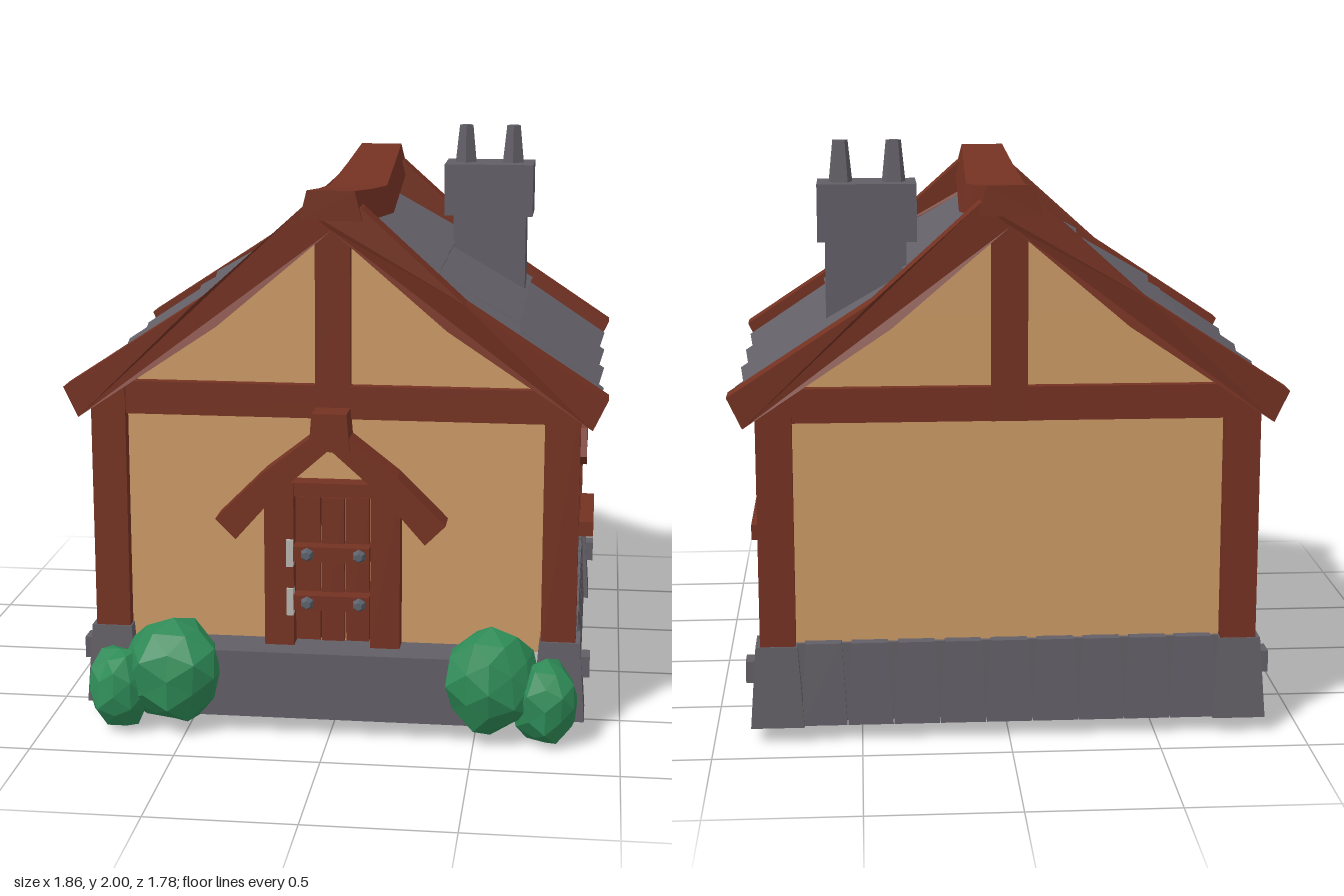
import * as THREE from 'three';

const mat = (name, color, extra = {}) => {
  const m = new THREE.MeshStandardMaterial({ color, flatShading: true, ...extra });
  m.name = name;
  return m;
};

export function createModel() {
  const timber = mat('timber', 0x743222);
  const plaster = mat('plaster', 0xcc9a66, { side: THREE.DoubleSide });
  const stone = mat('stone', 0x625e66);
  const eave = mat('eave', 0x4b505a);
  const leaf = mat('leaf', 0x2e8b57);
  const pale = mat('paleMetal', 0xb8b4ae);
  const glass = mat('glass', 0xcdc6be);
  const iron = mat('iron', 0x5c626c);

  const add = (parent, name, geo, material, x = 0, y = 0, z = 0) => {
    const m = new THREE.Mesh(geo, material);
    m.name = name;
    m.position.set(x, y, z);
    parent.add(m);
    return m;
  };
  const group = (parent, name, x = 0, y = 0, z = 0, ry = 0) => {
    const g = new THREE.Group();
    g.name = name;
    g.position.set(x, y, z);
    g.rotation.y = ry;
    parent.add(g);
    return g;
  };
  // Box given by its low and high corners
  const span = (parent, name, material, x0, x1, y0, y1, z0, z1) =>
    add(parent, name, new THREE.BoxGeometry(x1 - x0, y1 - y0, z1 - z0), material,
      (x0 + x1) / 2, (y0 + y1) / 2, (z0 + z1) / 2);
  // Box whose top is narrower than its foot
  const taperBox = (w, h, d, tx, tz) => {
    const g = new THREE.BoxGeometry(w, h, d), p = g.attributes.position;
    for (let i = 0; i < p.count; i++) {
      if (p.getY(i) > 0) p.setXYZ(i, p.getX(i) * tx, p.getY(i), p.getZ(i) * tz);
    }
    return g;
  };
  // Polygon mirrored across x = 0 (points run from apex, along the top, back underneath)
  const mirrored = (half) => {
    const inner = half.filter(([x]) => x > 0);
    const pts = [half[0], ...inner, half[half.length - 1],
      ...inner.slice().reverse().map(([x, y]) => [-x, y])];
    return new THREE.Shape(pts.map(([x, y]) => new THREE.Vector2(x, y)));
  };
  const extrude = (shape, depth) => new THREE.ExtrudeGeometry(shape, { depth, bevelEnabled: false });
  // Solid through convex cross-sections (anticlockwise seen from +z, z rising)
  const loft = (sections) => {
    const v = [], n = sections[0].length;
    const tri = (a, b, c) => v.push(...a, ...b, ...c);
    for (let k = 0; k < sections.length - 1; k++) {
      const s = sections[k], t = sections[k + 1];
      for (let i = 0; i < n; i++) {
        const j = (i + 1) % n;
        tri(s[i], s[j], t[j]);
        tri(s[i], t[j], t[i]);
      }
    }
    const f = sections[0], l = sections[sections.length - 1];
    for (let i = 1; i < n - 1; i++) {
      tri(f[0], f[i + 1], f[i]);
      tri(l[0], l[i], l[i + 1]);
    }
    const g = new THREE.BufferGeometry();
    g.setAttribute('position', new THREE.Float32BufferAttribute(v, 3));
    g.computeVertexNormals();
    return g;
  };

  const root = new THREE.Group();
  root.name = 'cottage';
  const house = group(root, 'house', 0, 0, -0.1);

  // Small peaked hood, shared by door and windows; origin at the apex
  const hood = (parent, y, z, s, depth) => {
    const g = group(parent, 'hood', 0, y, z);
    const arms = mirrored([[0, 0.03], [0.23, -0.15], [0.395, -0.315], [0.325, -0.385], [0.18, -0.22], [0, -0.06]]
      .map(([a, b]) => [a * s, b * s]));
    add(g, 'hoodArms', extrude(arms, depth), timber);
    add(g, 'hoodRidge', taperBox(0.14 * s, 0.13 * s, depth + 0.015, 0.85, 1), timber, 0, 0, depth / 2 + 0.005);
  };

  const windowUnit = (parent, y) => {
    const w = group(parent, 'window', 0.8, y, 0, Math.PI / 2);
    span(w, 'windowGlass', glass, -0.1, 0.1, 0.61, 0.89, 0, 0.009);
    for (const s of [-1, 1]) {
      span(w, 'windowJamb', timber, s * 0.11 - 0.023, s * 0.11 + 0.023, 0.6, 0.9, 0, 0.04);
    }
    span(w, 'windowHead', timber, -0.133, 0.133, 0.885, 0.915, 0, 0.045);
    span(w, 'windowMullion', timber, -0.018, 0.018, 0.61, 0.89, 0, 0.025);
    span(w, 'windowBar', timber, -0.1, 0.1, 0.74, 0.77, 0, 0.025);
    span(w, 'windowSill', timber, -0.2, 0.2, 0.555, 0.61, 0, 0.09);
    hood(w, 1.025, 0, 0.53, 0.06);
  };

  // Roof rows with a wavy, overlapping lip
  const lips = [[0.905, 1.17], [0.62, 1.385], [0.34, 1.57], [0.02, 1.77]];
  const roofRow = (r) => {
    const [x0, y0] = lips[r], [x1, y1] = lips[r + 1], sections = [];
    for (let i = 0; i <= 16; i++) {
      const z = -0.68 + i * 0.085;
      const w = -0.012 * Math.cos((2 * Math.PI * z) / 0.34);
      const dx = w * 0.7;
      sections.push([
        [x0 - 0.015 + dx, y0 - 0.03 + w, z], [x0 + dx, y0 + w, z],
        [x1 - 0.02 + dx, y1 - 0.012 + w, z], [x1 - 0.03 + dx, y1 - 0.045 + w, z]]);
    }
    return loft(sections);
  };

  // Each half carries one gable and one long side; the second is turned half way round
  for (const turn of [0, Math.PI]) {
    const half = group(house, turn ? 'backHalf' : 'frontHalf', 0, 0, 0, turn);

    // Walls
    const gable = mirrored([[0, 1.78], [0.4, 1.45], [0.8, 1.17], [0.8, 0.28], [0, 0.28]]);
    add(half, 'gableWall', extrude(gable, 0.03), plaster, 0, 0, 0.675);
    span(half, 'sideWall', plaster, 0.77, 0.8, 0.28, 1.2, -0.69, 0.69);

    // Gable timbers
    span(half, 'tieBeam', timber, -0.8, 0.8, 1.1, 1.215, 0.66, 0.74);
    span(half, 'kingPost', timber, -0.06, 0.06, 1.1, 1.79, 0.66, 0.745);
    const barge = extrude(mirrored([[0, 1.87], [0.1, 1.825], [0.45, 1.51], [0.93, 1.195],
      [0.88, 1.09], [0.39, 1.42], [0, 1.75]]), 0.1);
    const p = barge.attributes.position;
    for (let i = 0; i < p.count; i++) {
      p.setZ(i, p.getZ(i) + 0.018 * Math.max(0, 1 - Math.abs(Math.abs(p.getX(i)) - 0.45) / 0.45));
    }
    barge.computeVertexNormals();
    add(half, 'bargeBoard', barge, timber, 0, 0, 0.672);

    // Corner posts on their stone feet
    for (const s of [-1, 1]) {
      span(half, 'cornerPost', timber, 0.72, 0.84, 0.3, 1.2, s * 0.69 - 0.06, s * 0.69 + 0.06);
      add(half, 'cornerStone', taperBox(0.18, 0.28, 0.165, 0.78, 0.8), stone, 0.785, 0.195, s * 0.69);
      add(half, 'cornerStud', new THREE.BoxGeometry(0.05, 0.075, 0.075), stone, 0.865, 0.24, s * 0.69);
    }

    // Footing stones along the side
    span(half, 'sideFooting', stone, 0.78, 0.815, 0.06, 0.335, -0.65, 0.65);
    for (let i = 0; i < 8; i++) {
      add(half, 'sideFootingStone', taperBox(0.075, 0.285, 0.16, 0.65, 0.8), stone, 0.82, 0.198, (i - 3.5) * 0.163);
    }

    // Roof slope
    for (let r = 0; r < 3; r++) add(half, 'roofRow', roofRow(r), stone);
    const board = [-0.67, 0.67].map((z) => [[0.79, 1.19, z], [0.885, 1.125 + 0.015, z], [0.885, 1.15, z], [0.79, 1.22, z]]);
    add(half, 'eaveBoard', loft(board), eave);

    windowUnit(half, turn ? 0.03 : 0);
  }

  // Footing stones along the back
  span(house, 'backFooting', stone, -0.72, 0.72, 0.06, 0.335, -0.72, -0.68);
  for (let i = 0; i < 9; i++) {
    add(house, 'backFootingStone', taperBox(0.154, 0.285, 0.075, 0.8, 0.65), stone, (i - 4) * 0.157, 0.198, -0.72);
  }

  // Sagging ridge beam
  const ridge = [[-0.79, 1.885, 0.08], [-0.4, 1.845, 0.092], [0, 1.81, 0.105], [0.4, 1.845, 0.092], [0.79, 1.885, 0.08]];
  add(house, 'ridgeBeam', loft(ridge.map(([z, y, w]) => [
    [-w - 0.025, y - 0.1, z], [w + 0.025, y - 0.1, z], [w, y, z], [-w, y, z]])), timber);

  // Front step
  span(root, 'frontStep', stone, -0.55, 0.55, 0.06, 0.297, 0.6, 0.765);

  // Door
  const door = group(root, 'door', 0, 0, 0.605);
  for (const s of [-1, 1]) {
    span(door, 'doorJamb', timber, s * 0.184 - 0.051, s * 0.184 + 0.051, 0.295, 0.88, 0, 0.075);
  }
  span(door, 'doorLintel', timber, -0.14, 0.14, 0.832, 0.88, 0, 0.07);
  [[-0.132, -0.046, 0.03], [-0.04, 0.038, 0.036], [0.044, 0.124, 0.03]].forEach(([a, b, d]) =>
    span(door, 'doorPlank', timber, a, b, 0.305, 0.82, 0, d));
  for (const y of [0.455, 0.63]) {
    span(door, 'doorBrace', timber, -0.14, 0.13, y - 0.027, y + 0.027, 0, 0.085);
    span(door, 'doorHinge', pale, -0.157, -0.133, y - 0.045, y + 0.05, 0.05, 0.09);
    for (const x of [-0.085, 0.095]) {
      const bolt = add(door, 'doorBolt', new THREE.CylinderGeometry(0.014, 0.025, 0.022, 6), iron, x, y, 0.095);
      bolt.rotation.x = Math.PI / 2;
    }
  }
  hood(root, 1.075, 0.63, 1, 0.105);

  // Chimney
  const chimney = group(root, 'chimney');
  span(chimney, 'chimneyShaft', stone, 0.33, 0.605, 1.38, 1.7, -0.57, -0.385);
  span(chimney, 'chimneyCap', stone, 0.295, 0.63, 1.665, 1.86, -0.585, -0.38);
  for (const x of [0.37, 0.55]) {
    add(chimney, 'chimneyPot', new THREE.CylinderGeometry(0.027, 0.043, 0.15, 5), stone, x, 1.925, -0.49);
  }

  // Bushes: faceted balls with a steady ripple
  const bushes = [[-0.545, 0.215, 0.745, 0.18, 0.185, 0.15], [-0.735, 0.15, 0.765, 0.11, 0.15, 0.115],
    [0.555, 0.215, 0.73, 0.165, 0.185, 0.14], [0.745, 0.15, 0.735, 0.115, 0.15, 0.115]];
  bushes.forEach(([x, y, z, rx, ry, rz], k) => {
    const g = new THREE.IcosahedronGeometry(1, 1), q = g.attributes.position;
    for (let i = 0; i < q.count; i++) {
      const a = q.getX(i), b = q.getY(i), c = q.getZ(i);
      const f = 1 + 0.08 * Math.sin(5 * a + 3 * b + 4 * c + k * 2);
      q.setXYZ(i, a * f * rx, Math.max(b * f * ry, -y), c * f * rz);
    }
    g.computeVertexNormals();
    add(root, 'bush', g, leaf, x, y, z);
  });

  return root;
}
